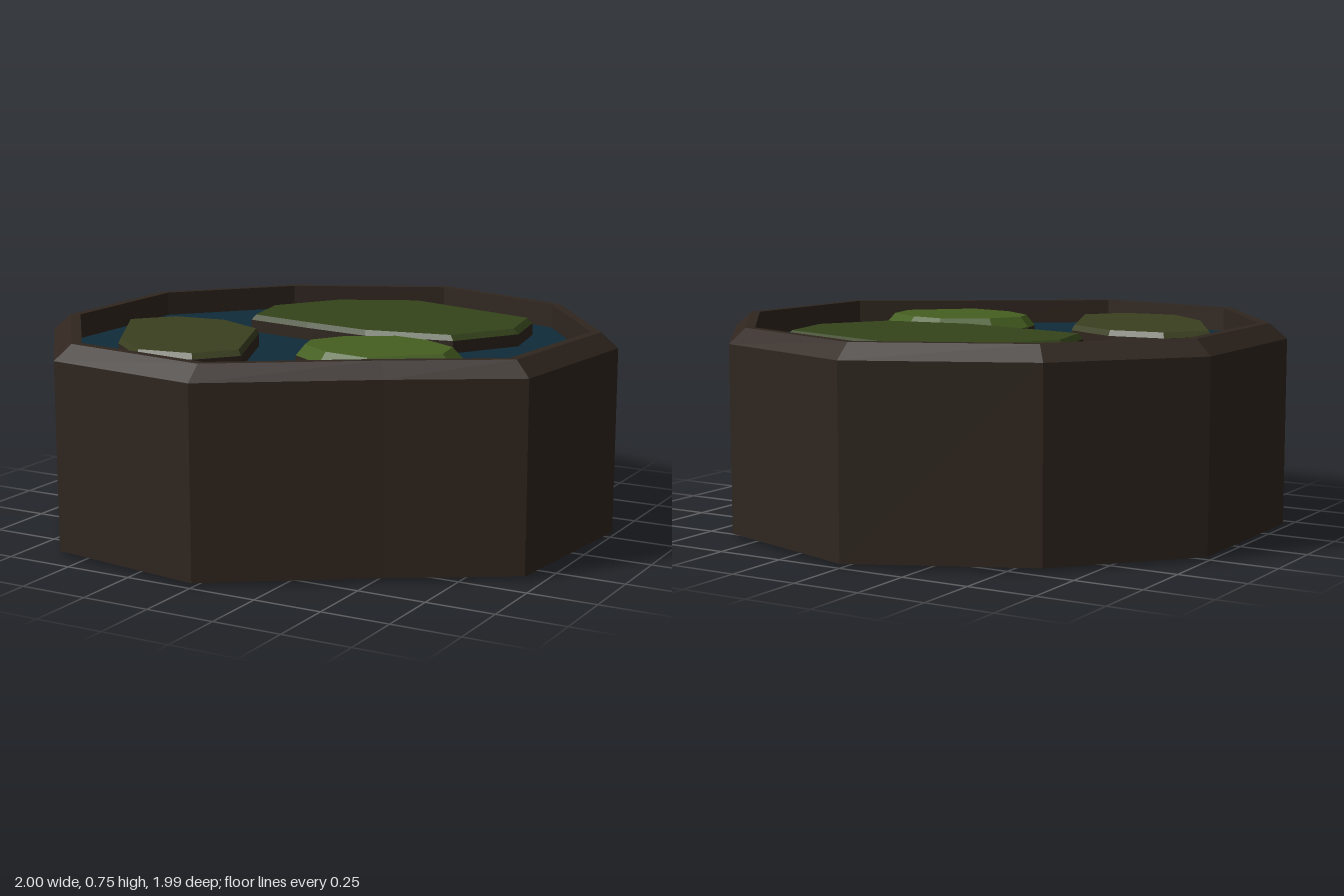
import * as THREE from 'three';

const paint = (color) => new THREE.MeshStandardMaterial({ color, flatShading: true, side: THREE.DoubleSide });
const earth = paint(0x30261f);
const waterBlue = paint(0x0f2b39);

// Plan outlines as [x, z], clockwise seen from above
const BASIN = [[0, -1], [0.61, -0.8], [1, -0.27], [0.94, 0.38], [0.53, 0.63],
  [0, 0.99], [-0.61, 0.9], [-1, 0.38], [-1, -0.27], [-0.61, -0.71]];

const ISLANDS = [
  { name: 'largeIsland', color: 0x35441b, bottom: 0, edge: 0.705, top: 0.725, inset: 0.965, capped: false,
    outline: [[-0.02, -0.71], [0.55, -0.545], [0.6, -0.3], [0.45, -0.06], [0.12, 0],
      [-0.15, -0.04], [-0.42, -0.09], [-0.47, -0.32], [-0.31, -0.57]] },
  { name: 'oliveIsland', color: 0x3b4020, bottom: 0.015, edge: 0.705, top: 0.725, inset: 0.96, capped: false,
    outline: [[-0.78, 0.21], [-0.66, 0.07], [-0.45, 0.045], [-0.24, 0.15],
      [-0.07, 0.55], [-0.18, 0.69], [-0.39, 0.72], [-0.58, 0.56]] },
  { name: 'brightIsland', color: 0x455f20, bottom: 0.015, edge: 0.69, top: 0.73, inset: 0.88, capped: true,
    outline: [[0.02, 0.28], [0.1, 0.15], [0.28, 0.04], [0.43, 0.06], [0.59, 0.15],
      [0.62, 0.3], [0.4, 0.51], [0.2, 0.48], [0.05, 0.38]] },
];

function middle(outline) {
  const sum = outline.reduce((s, p) => [s[0] + p[0], s[1] + p[1]], [0, 0]);
  return sum.map((v) => v / outline.length);
}

// Skin through scaled copies of an outline; levels are [y, scale], with optional flat caps
function skin(name, outline, center, levels, material, { topCap = false, bottomCap = false } = {}) {
  const [cx, cz] = center;
  const n = outline.length;
  const position = [];
  const index = [];
  for (const [y, s] of levels) {
    for (const [x, z] of outline) position.push(cx + (x - cx) * s, y, cz + (z - cz) * s);
  }
  for (let l = 0; l < levels.length - 1; l++) {
    for (let i = 0; i < n; i++) {
      const a = l * n + i, b = l * n + (i + 1) % n;
      index.push(a, a + n, b, b, a + n, b + n);
    }
  }
  const cap = (level, up) => {
    const c = position.length / 3;
    position.push(cx, levels[level][0], cz);
    for (let i = 0; i < n; i++) {
      const a = level * n + i, b = level * n + (i + 1) % n;
      index.push(c, up ? b : a, up ? a : b);
    }
  };
  if (topCap) cap(levels.length - 1, true);
  if (bottomCap) cap(0, false);

  const indexed = new THREE.BufferGeometry();
  indexed.setAttribute('position', new THREE.Float32BufferAttribute(position, 3));
  indexed.setIndex(index);
  const geometry = indexed.toNonIndexed();
  geometry.computeVertexNormals();
  const mesh = new THREE.Mesh(geometry, material);
  mesh.name = name;
  return mesh;
}

export function createModel() {
  const model = new THREE.Group();
  model.name = 'pondWithIslands';

  // Outer wall, bevelled rim and short inner wall down to the water
  model.add(skin('basinWall', BASIN, [0, 0],
    [[0.015, 1], [0.695, 1], [0.75, 0.94], [0.75, 0.905], [0.66, 0.905]], earth));

  // Water sheet
  model.add(skin('water', BASIN, [0, 0], [[0.66, 0.905]], waterBlue, { topCap: true }));

  // Islands: earth column with a bevelled grass top
  for (const { name, color, bottom, edge, top, inset, capped, outline } of ISLANDS) {
    const island = new THREE.Group();
    island.name = name;
    const center = middle(outline);
    island.add(skin('earthColumn', outline, center, [[bottom, 1], [edge, 1]], earth, { bottomCap: capped }));
    island.add(skin('grassTop', outline, center, [[edge, 1], [top, inset]], paint(color), { topCap: true }));
    model.add(island);
  }
  return model;
}
